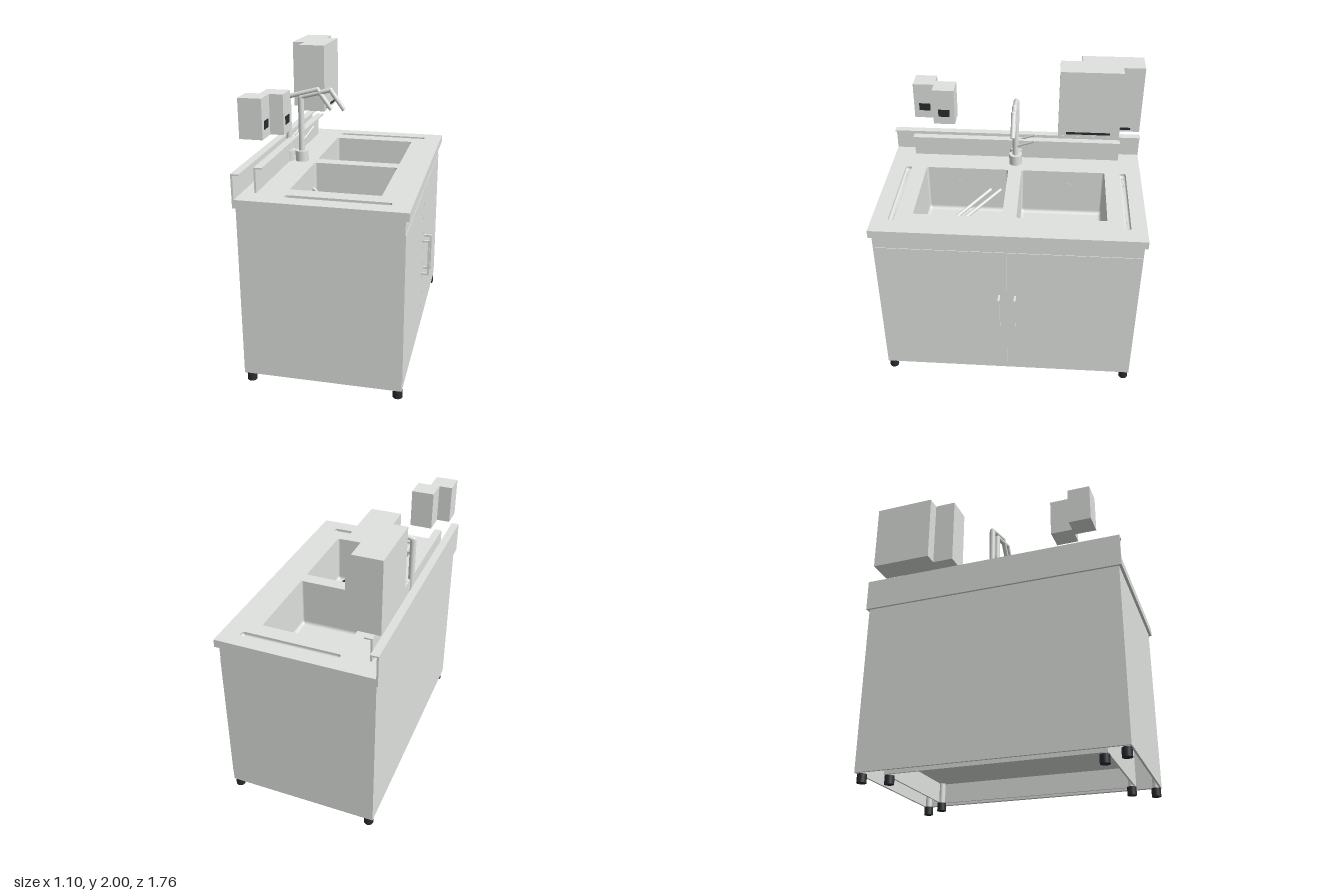
import * as THREE from 'three';

export function createModel() {
  const root = new THREE.Group();
  const mat = (name, color) => {
    const m = new THREE.MeshStandardMaterial({ color });
    m.name = name;
    return m;
  };
  const steel = mat('brushed steel grey', 0xdfe2df);
  const black = mat('rubber black', 0x2b2c32);
  const blue = mat('plate blue', 0x438ae0);

  const add = (name, geo, m = steel) => {
    const mesh = new THREE.Mesh(geo, m);
    mesh.name = name;
    root.add(mesh);
    return mesh;
  };
  // box given by its limits on each axis
  const box = (name, x0, x1, y0, y1, z0, z1, m) =>
    add(name, new THREE.BoxGeometry(x1 - x0, y1 - y0, z1 - z0), m)
      .position.set((x0 + x1) / 2, (y0 + y1) / 2, (z0 + z1) / 2);
  // upright cylinder
  const post = (name, x, z, y0, y1, r, m) =>
    add(name, new THREE.CylinderGeometry(r, r, y1 - y0, 24), m).position.set(x, (y0 + y1) / 2, z);
  // round bar between two points
  const bar = (name, a, b, r, m) => {
    const p = new THREE.Vector3(...a), q = new THREE.Vector3(...b);
    const d = q.clone().sub(p);
    const mesh = add(name, new THREE.CylinderGeometry(r, r, d.length(), 16), m);
    mesh.position.copy(p).add(q).multiplyScalar(0.5);
    mesh.quaternion.setFromUnitVectors(new THREE.Vector3(0, 1, 0), d.normalize());
  };
  // outline of a rounded rectangle as [x, z] points
  const outline = (x0, x1, z0, z1, r) => {
    const pts = [];
    const corners = [[x1 - r, z1 - r], [x0 + r, z1 - r], [x0 + r, z0 + r], [x1 - r, z0 + r]];
    corners.forEach(([cx, cz], c) => {
      for (let i = 0; i <= 6; i++) {
        const t = (c + i / 6) * Math.PI / 2;
        pts.push([cx + r * Math.cos(t), cz + r * Math.sin(t)]);
      }
    });
    return pts;
  };
  // open bowl with a filleted bottom, facing inwards
  const bowl = (name, x0, x1, z0, z1, r, yTop, yFloor, fillet) => {
    const rings = [[0, yTop], [0, yFloor + fillet * 1.2]];
    for (let i = 0; i <= 6; i++) {
      const t = i / 6 * Math.PI / 2;
      rings.push([fillet * (1 - Math.cos(t)), yFloor + fillet * (1 - Math.sin(t))]);
    }
    const pos = [], idx = [];
    const n = 28;
    for (const [inset, y] of rings) {
      const ring = outline(x0 + inset, x1 - inset, z0 + inset, z1 - inset, r);
      for (const [x, z] of ring) pos.push(x, y, z);
    }
    for (let k = 0; k < rings.length - 1; k++)
      for (let i = 0; i < n; i++) {
        const a = k * n + i, b = k * n + (i + 1) % n;
        idx.push(a, a + n, b, b, a + n, b + n);
      }
    const centre = pos.length / 3, last = centre - n;
    pos.push((x0 + x1) / 2, yFloor, (z0 + z1) / 2);
    for (let i = 0; i < n; i++) idx.push(centre, last + (i + 1) % n, last + i);
    const geo = new THREE.BufferGeometry();
    geo.setAttribute('position', new THREE.Float32BufferAttribute(pos, 3));
    geo.setIndex(idx);
    geo.computeVertexNormals();
    add(name, geo);
  };

  // worktop with two basins and two drain slots
  const top = new THREE.Shape([[-0.55, -0.882], [0.512, -0.882], [0.512, 0.882], [-0.55, 0.882]]
    .map(([x, y]) => new THREE.Vector2(x, y)));
  const sink = (name, x0, x1, z0, z1, r, yFloor, fillet) => {
    top.holes.push(new THREE.Path(outline(x0, x1, z0, z1, r).map(([x, z]) => new THREE.Vector2(x, -z))));
    bowl(name, x0 + 0.001, x1 - 0.001, z0 + 0.001, z1 - 0.001, r, 1.25, yFloor, fillet);
  };
  sink('basin', -0.268, 0.306, -0.632, -0.048, 0.015, 0.9, 0.025);
  sink('basin', -0.268, 0.306, 0.045, 0.625, 0.015, 0.9, 0.025);
  sink('drainSlot', -0.268, 0.39, -0.78, -0.738, 0.015, 1.225, 0.012);
  sink('drainSlot', -0.268, 0.39, 0.733, 0.775, 0.015, 1.225, 0.012);
  const topGeo = new THREE.ExtrudeGeometry(top, { depth: 0.053, bevelEnabled: false });
  add('worktop', topGeo.rotateX(-Math.PI / 2)).position.y = 1.197;

  // overflow discs, drains with plugs, waste rods and floor plates
  for (const z of [-0.38, 0.4]) bar('overflowDisc', [-0.27, 1.13, z], [-0.264, 1.13, z], 0.025);
  const drains = [[0.06, -0.417], [0.01, -0.342], [0.128, -0.238], [0.215, -0.268],
    [0.01, 0.335], [0.06, 0.412], [0.13, 0.468], [0.215, 0.58]];
  for (const [x, z] of drains) post('drain', x, z, 0.89, 0.915, 0.037, black);
  for (const [x, z] of drains.slice(2, 4)) post('drainPlug', x, z, 0.915, 0.922, 0.006);
  bar('wasteRod', [-0.268, 1.08, 0.1], [0.13, 0.95, 0.468], 0.012);
  bar('wasteRod', [-0.268, 1.08, 0.17], [0.215, 0.95, 0.58], 0.012);
  box('bluePlate', 0.083, 0.17, 0.92, 0.929, 0.218, 0.365, blue);
  box('bluePlate', 0.17, 0.259, 0.92, 0.929, 0.33, 0.478, blue);
  box('greyPlate', 0.083, 0.17, 0.926, 0.935, -0.485, -0.343);
  box('greyPlate', 0.17, 0.259, 0.926, 0.935, -0.515, -0.37);

  // open-bottomed cabinet shell
  box('backPanel', -0.535, -0.52, 0.06, 1.197, -0.864, 0.864);
  for (const s of [-1, 1]) {
    const z = s * 0.857;
    box('sidePanel', -0.52, 0.488, 0.06, 1.197, z - 0.007, z + 0.007);
  }
  box('frontFrame', 0.46, 0.475, 0.06, 1.197, -0.85, 0.85);
  box('topRail', 0.475, 0.488, 1.103, 1.197, -0.85, 0.85);
  box('kickRail', 0.475, 0.488, 0.06, 0.122, -0.85, 0.85);

  // doors with bar handles
  for (const s of [-1, 1]) {
    const near = s * 0.002, far = s * 0.863;
    box('door', 0.475, 0.491, 0.123, 1.102, Math.min(near, far), Math.max(near, far));
    const z = s * 0.053;
    box('handleGrip', 0.533, 0.546, 0.483, 0.743, z - 0.007, z + 0.007);
    for (const y of [0.483, 0.73]) box('handleStem', 0.49, 0.535, y, y + 0.013, z - 0.007, z + 0.007);
  }

  // inner carcass standing on the inner feet, with its floor set up inside
  box('innerFloor', -0.43, 0.39, 0.195, 0.21, -0.7, 0.7);
  for (const x of [-0.44, 0.388]) box('innerWall', x, x + 0.012, 0.06, 1.19, -0.71, 0.71);
  for (const z of [-0.71, 0.698]) box('innerWall', -0.43, 0.39, 0.06, 1.19, z, z + 0.012);

  // adjustable feet, outer and inner sets
  for (const [xs, zf] of [[[-0.497, 0.459], 0.83], [[-0.41, 0.37], 0.685]])
    for (const x of xs) for (const z of [-zf, zf]) {
      post('foot', x, z, 0, 0.055, 0.031, black);
      post('footStem', x, z, 0.055, 0.2, 0.022);
    }

  // splash strips with a folded top lip
  for (const [x, z] of [[-0.55, 0.882], [-0.46, 0.735]]) {
    box('splashWall', x, x + 0.012, 1.25, 1.41, -z, z);
    box('splashLip', x + 0.012, x + 0.052, 1.4, 1.41, -z, z);
  }

  // pair of taps with bent spouts and side levers
  for (const x of [-0.46, -0.37]) {
    post('tapBase', x, 0, 1.25, 1.322, 0.045);
    post('tapPost', x, 0, 1.322, 1.695, 0.02);
    const path = [[x, 1.695, 0], [x + 0.207, 1.75, 0], [x + 0.303, 1.618, 0]];
    for (const p of path.slice(0, 2))
      add('tapElbow', new THREE.SphereGeometry(0.017, 16, 12)).position.set(...p);
    bar('tapSpout', path[0], path[1], 0.016);
    bar('tapNozzle', path[1], path[2], 0.016);
    bar('tapLever', [x + 0.01, 1.395, -0.015], [x + 0.048, 1.458, -0.135], 0.008);
  }

  // hand dryers with a dark outlet strip, and dispensers with a dark window
  for (const [dx, dz] of [[0, 0], [0.088, 0.143]]) {
    const x = -0.55 + dx, z = -0.853 + dz;
    box('dryerCase', x, x + 0.18, 1.532, 2, z, z + 0.415);
    box('dryerOutlet', x + 0.179, x + 0.183, 1.546, 1.562, z + 0.063, z + 0.36, black);
  }
  for (const [dx, dz] of [[0, 0], [0.087, -0.145]]) {
    const x = -0.55 + dx, z = 0.56 + dz;
    box('dispenserCase', x, x + 0.147, 1.575, 1.825, z, z + 0.147);
    box('dispenserWindow', x + 0.146, x + 0.15, 1.631, 1.683, z + 0.035, z + 0.112, black);
  }
  return root;
}
